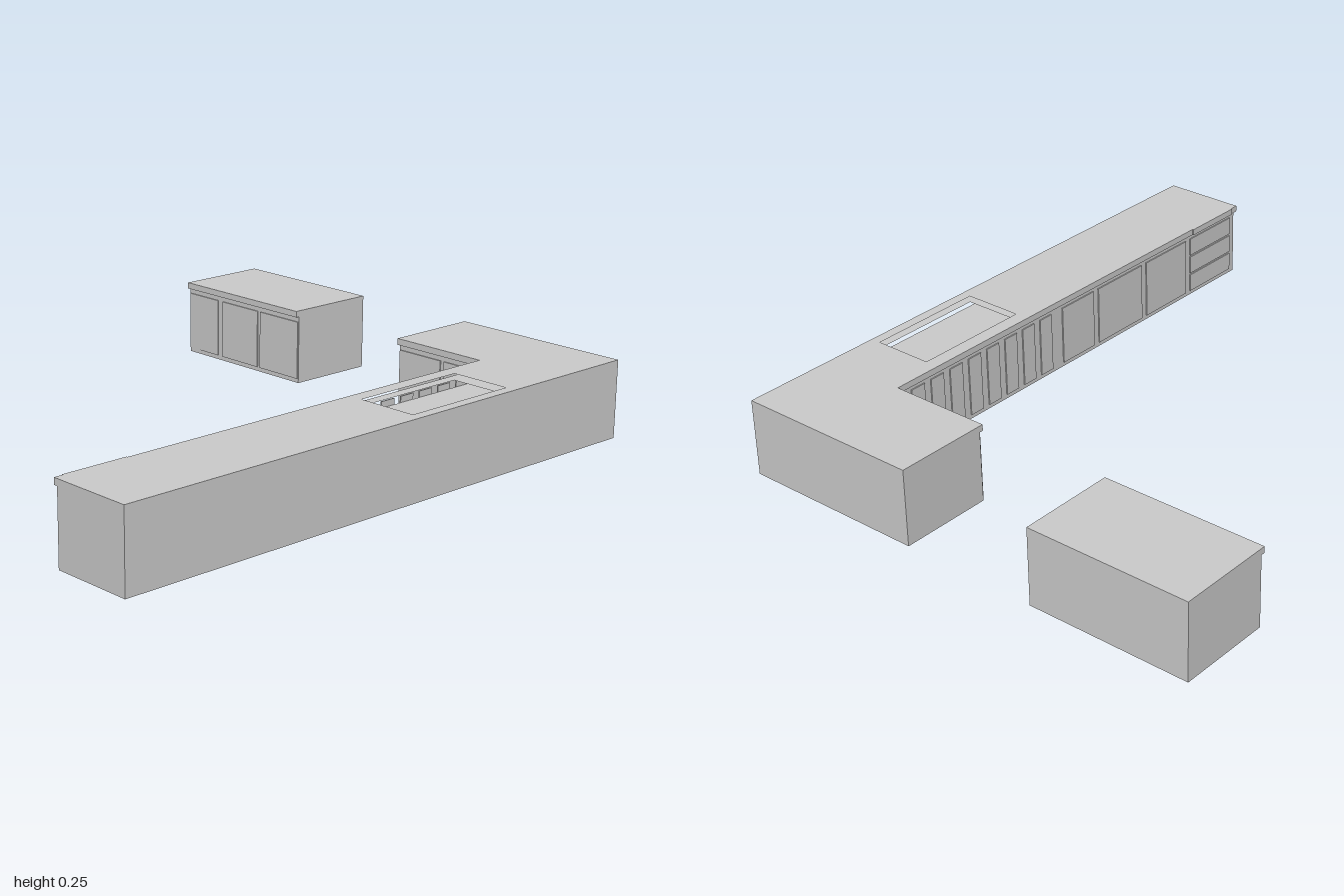
import * as THREE from 'three';

const mat = new THREE.MeshStandardMaterial({ color: 0xcccccc, flatShading: true });
const H = 0.255, LIP = 0.234, SINK = 0.195; // counter top, counter underside, sink floor
const OVER = 0.013, DOOR = 0.004; // overhang, door thickness

export function createModel() {
  const model = new THREE.Group();

  const add = (parent, geo, name) => {
    const mesh = new THREE.Mesh(geo, mat);
    mesh.name = name;
    parent.add(mesh);
  };
  const box = (parent, name, x0, x1, y0, y1, z0, z1) => {
    const geo = new THREE.BoxGeometry(x1 - x0, y1 - y0, z1 - z0);
    geo.translate((x0 + x1) / 2, (y0 + y1) / 2, (z0 + z1) / 2);
    add(parent, geo, name);
  };
  // Plan outline of [x, z] points raised from y0 to y1, with an optional hole
  const slab = (parent, name, plan, y0, y1, hole) => {
    const points = (list) => list.map(([x, z]) => new THREE.Vector2(x, -z));
    const shape = new THREE.Shape(points(plan));
    if (hole) shape.holes.push(new THREE.Path(points(hole)));
    const geo = new THREE.ExtrudeGeometry(shape, { depth: y1 - y0, bevelEnabled: false });
    geo.rotateX(-Math.PI / 2);
    geo.translate(0, y0, 0);
    add(parent, geo, name);
  };

  // Free-standing cabinet
  const island = new THREE.Group();
  island.name = 'separateCabinet';
  model.add(island);
  const front = -0.675, face = front - OVER;
  box(island, 'cabinetBody', -0.827, -0.273, 0, LIP, -1, face);
  box(island, 'cabinetTop', -0.827, -0.273, LIP, H, -1, front);
  for (const [a, b] of [[-0.824, -0.678], [-0.654, -0.475], [-0.462, -0.276]])
    box(island, 'cabinetDoor', a, b, 0.015, 0.215, face, face + DOOR);

  // L-shaped counter with a sunken sink
  const counter = new THREE.Group();
  counter.name = 'cornerCounter';
  model.add(counter);
  const plan = (inset) => [
    [0.193, -1], [0.825, -1], [0.825, 1], [0.54 + inset, 1],
    [0.54 + inset, front - inset], [0.193, front - inset],
  ];
  const sink = [[0.588, -0.505], [0.79, -0.505], [0.79, -0.1], [0.588, -0.1]];
  slab(counter, 'counterBody', plan(OVER), 0, SINK);
  slab(counter, 'sinkSurround', plan(OVER), SINK, LIP, sink);
  slab(counter, 'worktop', plan(0), LIP, H, sink);

  // Doors on the short leg
  for (const [a, b] of [[0.196, 0.37], [0.385, 0.537]])
    box(counter, 'shortLegDoor', a, b, 0.015, 0.215, face, face + DOOR);

  // Doors, slats and drawers on the long leg
  const side = 0.54 + OVER;
  const panel = (name, z0, z1, y0 = 0.015, y1 = 0.215) =>
    box(counter, name, side - DOOR, side, y0, y1, z0, z1);
  for (const [a, b] of [[0.08, 0.235], [0.26, 0.485], [0.51, 0.725]])
    panel('longLegDoor', a, b);
  for (let i = 0; i < 8; i++) panel('narrowPanel', -0.61 + i * 0.083, -0.555 + i * 0.083);
  for (let i = 0; i < 3; i++)
    panel('drawerFront', 0.75, 0.975, 0.015 + i * 0.069, 0.077 + i * 0.069);
  box(counter, 'drawerEdgeStrip', 0.536, 0.54, LIP, H, 0.75, 0.97);

  return model;
}
